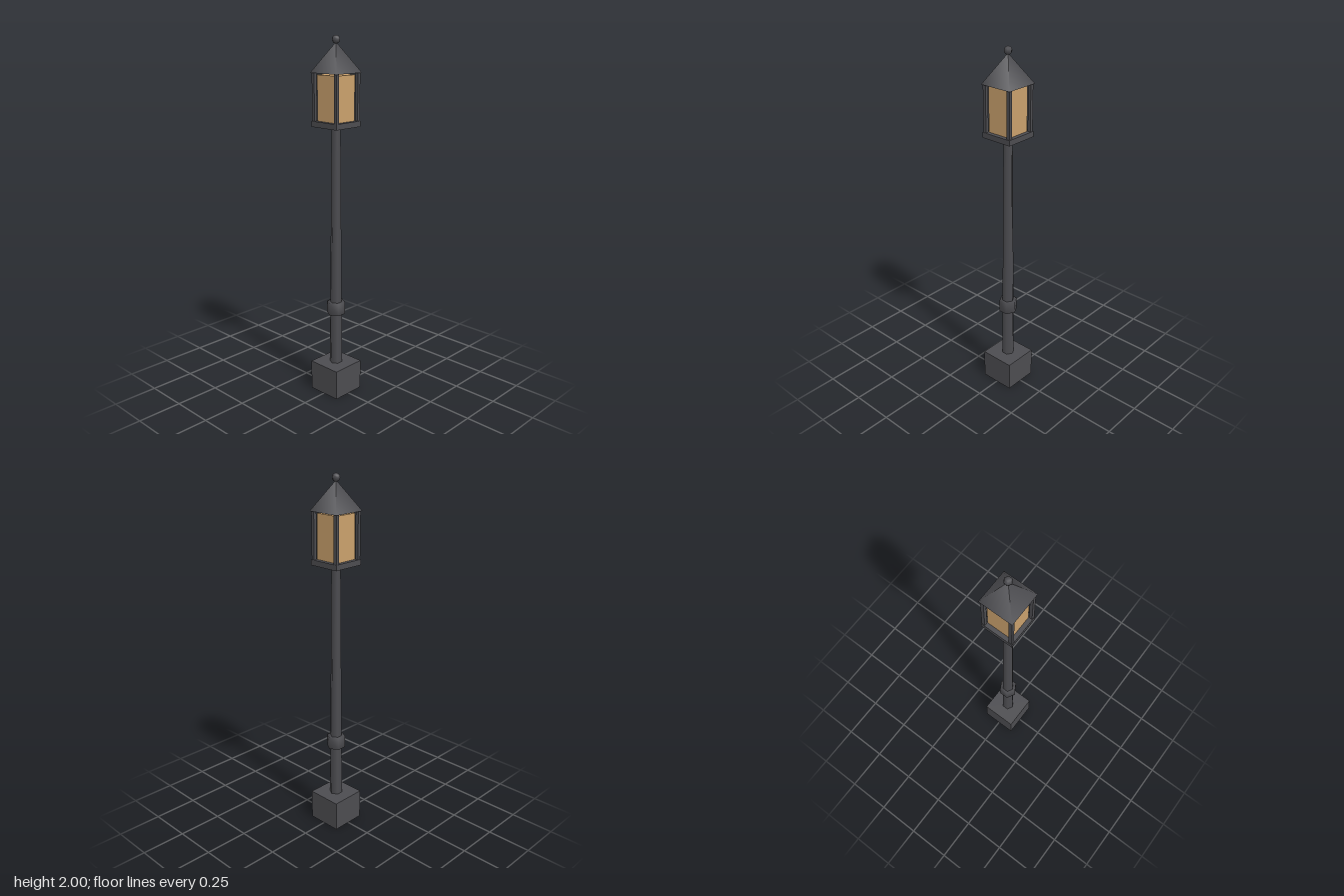
import * as THREE from 'three';

export function createModel() {
  const group = new THREE.Group();
  const iron = new THREE.MeshStandardMaterial({ color: 0x4c4c50 });
  iron.name = 'dark iron';
  const amber = new THREE.MeshStandardMaterial({ color: 0xc9a06c });
  amber.name = 'amber glass';

  function add(name, geometry, material, x, y, z) {
    const mesh = new THREE.Mesh(geometry, material);
    mesh.name = name;
    mesh.position.set(x, y, z);
    group.add(mesh);
    return mesh;
  }
  const box = (name, w, h, y0, material = iron, x = 0, z = 0) =>
    add(name, new THREE.BoxGeometry(w, h, w), material, x, y0 + h / 2, z);

  // Pedestal
  box('pedestal', 0.2, 0.17, 0);

  // Tapered six-sided pole, corners on the x axis
  const pole = new THREE.CylinderGeometry(0.025, 0.036, 1.37, 6);
  add('pole', pole.rotateY(Math.PI / 6), iron, 0, 0.17 + 1.37 / 2, 0);

  // Softly shaded collar ring around the pole
  const profile = [[0.03, -0.035], [0.052, -0.035], [0.052, 0.035], [0.03, 0.035]];
  const collar = new THREE.LatheGeometry(profile.map(([r, y]) => new THREE.Vector2(r, y)), 6);
  add('collar', collar.rotateY(Math.PI / 6), iron, 0, 0.505, 0);

  // Lantern floor, glass and corner posts
  box('lanternFloor', 0.184, 0.03, 1.53);
  box('glass', 0.138, 0.24, 1.56, amber);
  for (const x of [-1, 1]) {
    for (const z of [-1, 1]) box('cornerPost', 0.018, 0.255, 1.558, iron, x * 0.08, z * 0.08);
  }

  // Pyramid roof and ball finial
  const roof = new THREE.ConeGeometry(0.095 * Math.SQRT2, 0.155, 4);
  add('roof', roof.rotateY(Math.PI / 4), iron, 0, 1.81 + 0.155 / 2, 0);
  add('finial', new THREE.SphereGeometry(0.022, 6, 6), iron, 0, 1.978, 0);

  return group;
}
